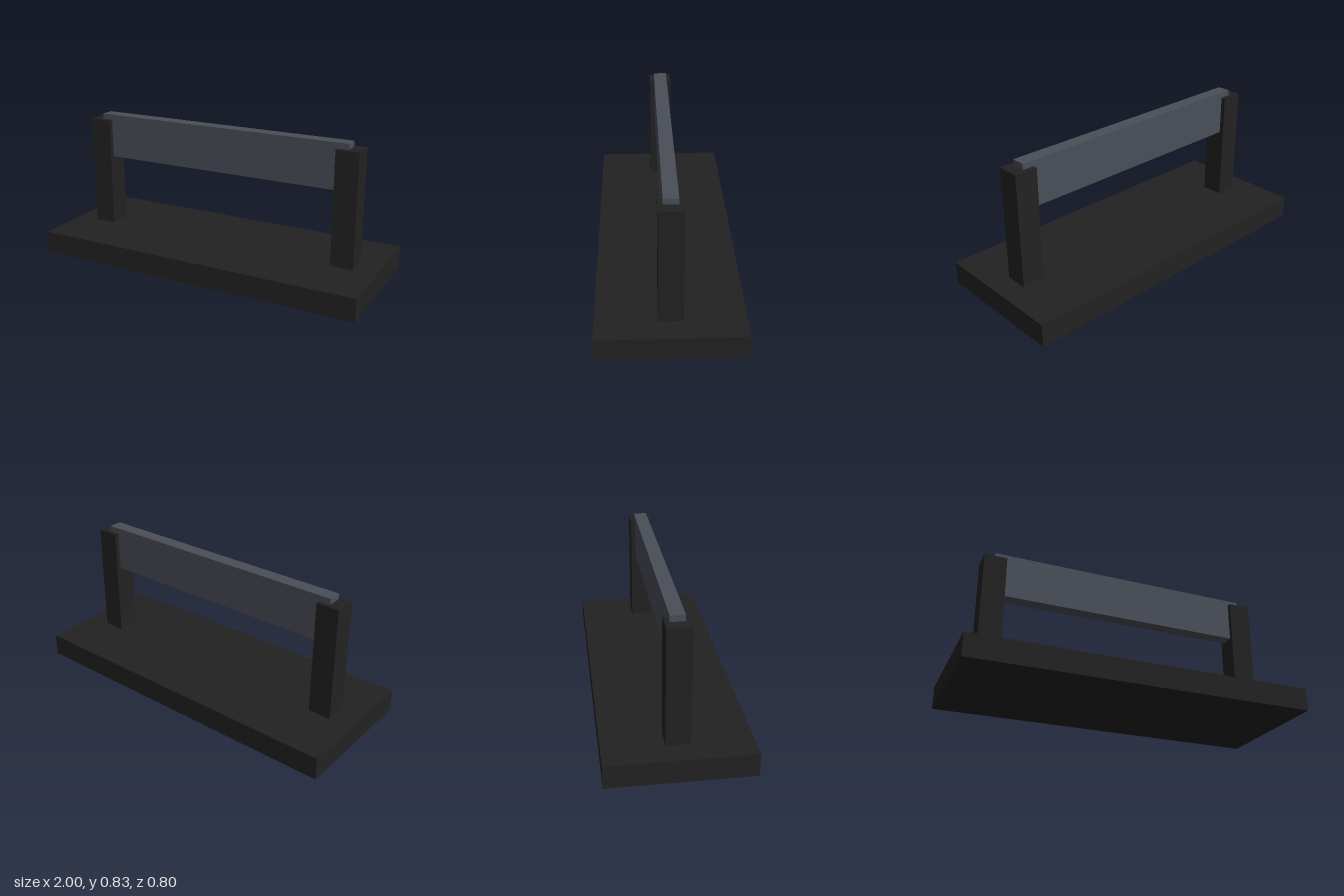
import * as THREE from 'three';

export function createModel() {
  const model = new THREE.Group();
  model.name = 'barStand';

  const black = new THREE.MeshStandardMaterial({ name: 'matteBlack', color: 0x222222 });
  const slate = new THREE.MeshStandardMaterial({ name: 'slateGrey', color: 0x4a4e58 });

  // Box spanning the heights y0 to y1
  function addBox(name, material, width, depth, y0, y1, x = 0) {
    const mesh = new THREE.Mesh(new THREE.BoxGeometry(width, y1 - y0, depth), material);
    mesh.name = name;
    mesh.position.set(x, (y0 + y1) / 2, 0);
    model.add(mesh);
  }

  const baseTop = 0.1333;
  addBox('base', black, 2, 0.8, 0, baseTop);

  // Square posts at both ends
  for (const [name, side] of [['leftPost', 1], ['rightPost', -1]]) {
    addBox(name, black, 0.1333, 0.1333, baseTop, 0.8, side * 0.8);
  }

  // Panel set into the posts, standing slightly above them
  addBox('panel', slate, 1.6, 0.08, 0.5667, 0.8333);

  return model;
}
